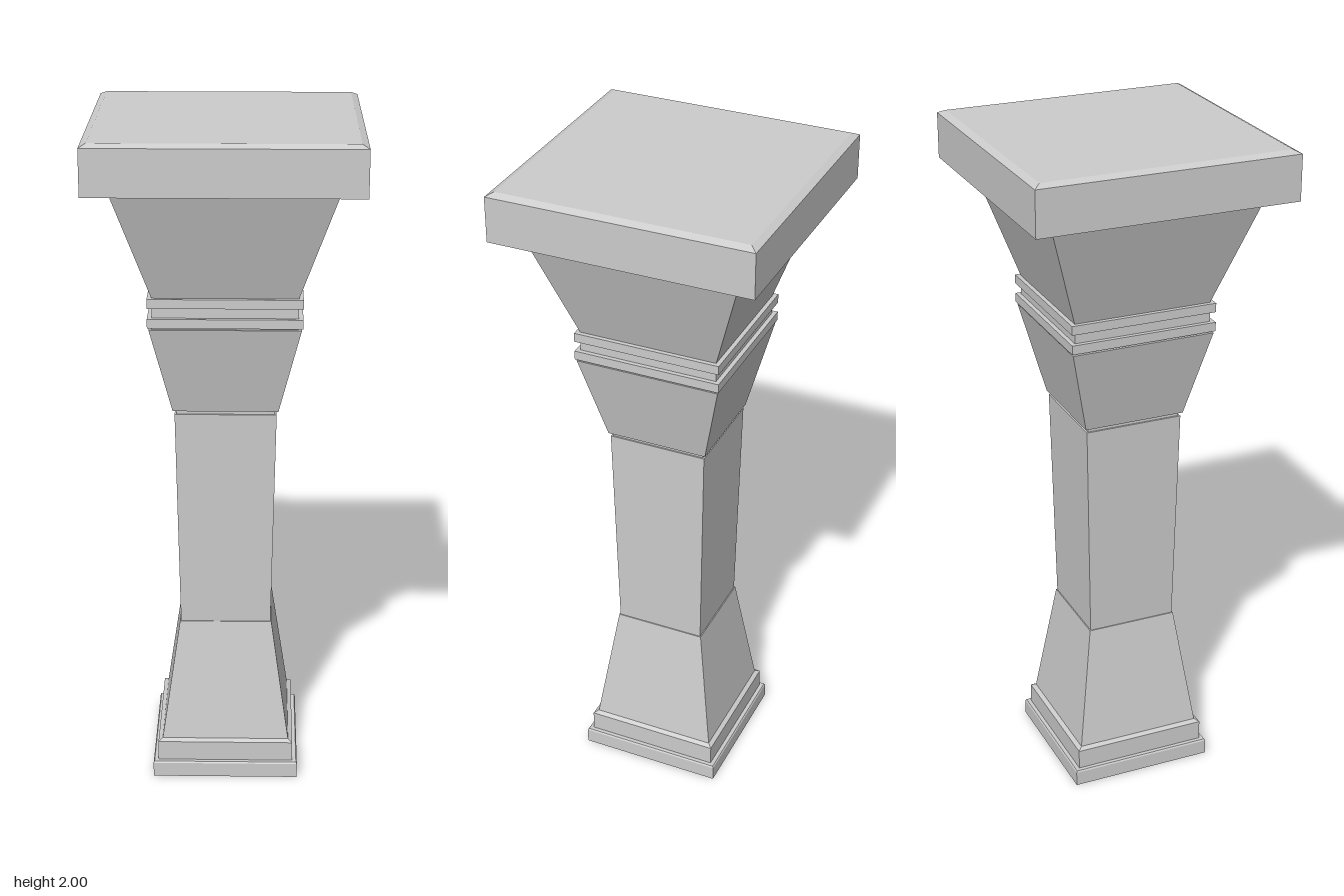
import * as THREE from 'three';

const material = new THREE.MeshStandardMaterial({ color: 0xcccccc, flatShading: true });

// Closed square solid from a profile of [half width, height] pairs, bottom to top
function squareSolid(name, profile) {
  const closed = [[0, profile[0][1]], ...profile, [0, profile[profile.length - 1][1]]];
  const points = closed.map(([half, y]) => new THREE.Vector2(half * Math.SQRT2, y));
  const mesh = new THREE.Mesh(new THREE.LatheGeometry(points, 4, Math.PI / 4), material);
  mesh.name = name;
  return mesh;
}

export function createModel() {
  const pillar = new THREE.Group();
  pillar.name = 'pillar';

  const parts = {
    // Stepped foot
    base: [[0.22, 0], [0.22, 0.045], [0.217, 0.05]],
    plinth: [[0.205, 0.05], [0.205, 0.111], [0.192, 0.118]],
    // Flared foot and slightly widening shaft
    lowerFlare: [[0.192, 0.118], [0.138, 0.49]],
    shaft: [[0.135, 0.49], [0.148, 1.16]],
    shaftGroove: [[0.143, 1.16], [0.143, 1.172]],
    // Flared neck and the twin bands around it
    neckFlare: [[0.153, 1.172], [0.216, 1.437]],
    neckGroove: [[0.207, 1.437], [0.207, 1.53]],
    lowerBand: [[0.22, 1.443], [0.22, 1.47]],
    upperBand: [[0.22, 1.501], [0.22, 1.528]],
    // Capital and bevelled slab
    capital: [[0.207, 1.528], [0.312, 1.845]],
    capitalGroove: [[0.302, 1.845], [0.302, 1.851]],
    slab: [[0.33, 1.85], [0.33, 1.857], [0.385, 1.857], [0.385, 1.99], [0.365, 2]],
  };
  for (const [name, profile] of Object.entries(parts)) pillar.add(squareSolid(name, profile));

  return pillar;
}
